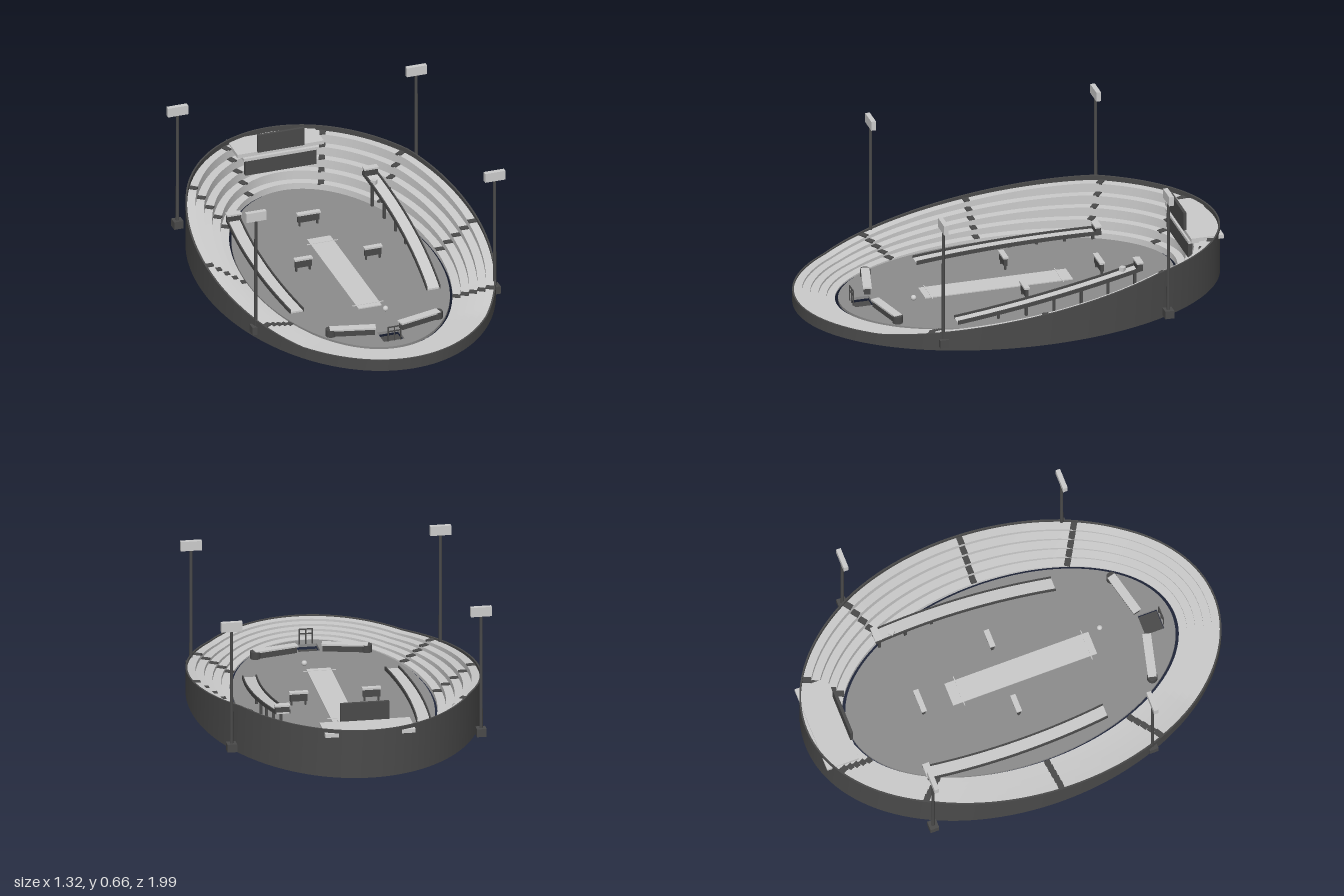
import * as THREE from 'three';
import { toCreasedNormals } from 'three/addons/utils/BufferGeometryUtils.js';

const mat = (color) => new THREE.MeshStandardMaterial({ color });
const light = mat(0xcccccc), grass = mat(0x8c8c8c), dark = mat(0x4a4a4a);

const BASE = 0.02, GROUND = 0.03;
const A0 = 0.458, A1 = 0.66, B0 = 0.8, B1 = 0.995; // inner and outer half axes
const ROWS = 5, WALL = 0.965;

// rim height: low at the front, rising evenly to a level back
const rim = (z) => 0.075 + 0.175 * THREE.MathUtils.clamp((0.73 - z) / 1.31, 0, 1);

// point in the bowl: t = angle, s = inner to outer, h = base to rim
function bowlPoint(t, s, h) {
  const x = THREE.MathUtils.lerp(A0, A1, s) * Math.cos(t);
  const z = THREE.MathUtils.lerp(B0, B1, s) * Math.sin(t);
  return new THREE.Vector3(x, BASE + h * (rim(B1 * Math.sin(t)) - BASE), z);
}

// closed section swept around the bowl
function bowlSweep(section, segments = 128) {
  const pos = [], index = [], n = section.length;
  for (let i = 0; i <= segments; i++)
    for (const [s, h] of section) pos.push(...bowlPoint((i / segments) * Math.PI * 2, s, h).toArray());
  for (let i = 0; i < segments; i++)
    for (let j = 0; j < n; j++) {
      const a = i * n + j, b = i * n + ((j + 1) % n);
      index.push(a, b, a + n, b, b + n, a + n);
    }
  const g = new THREE.BufferGeometry();
  g.setAttribute('position', new THREE.Float32BufferAttribute(pos, 3));
  g.setIndex(index);
  return toCreasedNormals(g, 0.5);
}

function add(parent, name, geometry, material, x = 0, y = 0, z = 0) {
  const m = new THREE.Mesh(geometry, material);
  m.name = name;
  m.position.set(x, y, z);
  parent.add(m);
  return m;
}
const box = (parent, name, material, w, h, d, x, y, z) =>
  add(parent, name, new THREE.BoxGeometry(w, h, d), material, x, y, z);

function group(parent, name, x = 0, y = 0, z = 0) {
  const g = new THREE.Group();
  g.name = name;
  g.position.set(x, y, z);
  parent.add(g);
  return g;
}

// flat outline laid on the ground and thickened upward
const slab = (shape, depth) =>
  new THREE.ExtrudeGeometry(shape, { depth, bevelEnabled: false, curveSegments: 64 }).rotateX(-Math.PI / 2);

// bowed walkway strip, sloping up toward the back
const Z0 = 0.335, Z1 = -0.54;
const bow = (z) => 0.328 + 0.028 * (1 - ((z + 0.1) / 0.44) ** 2);
function bowedStrip(side, offset, width, thick, height) {
  const edge = (o) => Array.from({ length: 25 }, (_, i) => {
    const z = THREE.MathUtils.lerp(Z0, Z1, i / 24);
    return new THREE.Vector2(side * (bow(z) + o), -z);
  });
  const g = slab(new THREE.Shape([...edge(offset - width / 2), ...edge(offset + width / 2).reverse()]), thick);
  const p = g.attributes.position;
  for (let i = 0; i < p.count; i++) p.setY(i, p.getY(i) + height(p.getZ(i)));
  g.computeVertexNormals();
  return g;
}

function ramp(parent, name, side, topY) {
  const r = group(parent, name);
  const height = (z) => THREE.MathUtils.lerp(GROUND, topY, (Z0 - z) / (Z0 - Z1));
  add(r, 'rampDeck', bowedStrip(side, 0, 0.06, 0.008, height), light);
  for (const o of [-0.031, 0.031]) add(r, 'rampCurb', bowedStrip(side, o, 0.006, 0.018, height), dark);
  for (let i = 0; i < 6; i++) {
    const z = 0.14 - i * 0.13, h = height(z) - GROUND;
    box(r, 'rampPost', dark, 0.012, h, 0.012, side * bow(z), GROUND + h / 2, z);
  }
  box(r, 'rampEndPanel', dark, 0.065, 0.036, 0.025, side * bow(-0.525), topY + 0.018, -0.527);
  box(r, 'rampEndCap', light, 0.07, 0.008, 0.032, side * bow(-0.525), topY + 0.038, -0.527);
}

function sign(parent, x, z, w) {
  const s = group(parent, 'boardOnLegs', x, 0, z);
  box(s, 'boardPanel', dark, w * 0.92, 0.036, 0.016, 0, 0.068, 0);
  box(s, 'boardCap', light, w, 0.009, 0.025, 0, 0.09, 0);
  for (const k of [-1, 1]) box(s, 'boardLeg', dark, 0.008, 0.024, 0.01, k * w * 0.38, 0.04, 0);
}

function floodlight(parent, x, z) {
  const f = group(parent, 'floodlight', x, 0, z);
  box(f, 'floodlightBase', dark, 0.045, 0.038, 0.042, 0, 0.059, 0);
  add(f, 'floodlightPole', new THREE.CylinderGeometry(0.007, 0.008, 0.57, 12), dark, 0, 0.345, 0);
  box(f, 'floodlightHead', light, 0.097, 0.045, 0.022, 0, 0.642, 0);
}

export function createModel() {
  const model = new THREE.Group();
  model.name = 'stadium';

  // stepped seating and outer wall
  const rowS = (i) => (i / ROWS) * WALL, rowH = (i) => 0.14 + 0.76 * (i / (ROWS - 1));
  const steps = [[0, 0], [WALL, 0]];
  for (let i = ROWS - 1; i >= 0; i--) steps.push([rowS(i + 1), rowH(i)], [rowS(i), rowH(i)]);
  add(model, 'seatingTiers', bowlSweep(steps), light);
  add(model, 'outerWall', bowlSweep([[WALL - 0.005, 0], [1, 0], [1, 1], [WALL - 0.005, 1]]), dark);

  // dark stairs crossing the tiers
  for (const deg of [0, 32, -38, -68.5])
    for (const t of [deg, 180 - deg].map(THREE.MathUtils.degToRad))
      for (let i = 0; i < ROWS; i++) {
        const a = bowlPoint(t, rowS(i), rowH(i)), b = bowlPoint(t, rowS(i + 1), rowH(i));
        const step = box(model, 'aisleStep', dark, a.distanceTo(b), 0.008, 0.028, 0, 0, 0);
        step.position.copy(a).lerp(b, 0.5);
        step.rotation.y = -Math.atan2(b.z - a.z, b.x - a.x);
      }

  // field with a square pit opening
  const outline = new THREE.Shape().absellipse(0, 0, 0.447, 0.785, 0, Math.PI * 2);
  const pit = [[-0.05, -0.637], [0.05, -0.637], [0.05, -0.73], [-0.05, -0.73]];
  outline.holes.push(new THREE.Path(pit.map(([x, y]) => new THREE.Vector2(x, y))));
  add(model, 'field', slab(outline, GROUND - 0.017), grass, 0, 0.017, 0);
  box(model, 'pitPlate', dark, 0.1, 0.005, 0.093, 0, 0.0025, 0.683);
  for (const x of [-0.03, 0, 0.03]) box(model, 'pitRailPost', dark, 0.005, 0.075, 0.005, x, 0.0665, 0.733);
  for (const y of [0.08, 0.102]) box(model, 'pitRail', dark, 0.065, 0.005, 0.005, 0, y, 0.733);

  // central strip with its end lines
  box(model, 'centreStrip', light, 0.112, 0.006, 0.7, 0, GROUND + 0.002, 0.05);
  for (const z of [-0.25, 0.37]) box(model, 'stripLine', light, 0.15, 0.003, 0.004, 0, GROUND + 0.005, z);
  add(model, 'ball', new THREE.SphereGeometry(0.013, 20, 14), light, 0.055, GROUND + 0.013, 0.455);

  // boards, walkways and the marker on the high walkway
  sign(model, 0, -0.44, 0.112);
  for (const k of [-1, 1]) sign(model, k * 0.168, -0.037, 0.086);
  ramp(model, 'lowRamp', -1, 0.062);
  ramp(model, 'highRamp', 1, 0.182);
  box(model, 'rampMarker', light, 0.024, 0.02, 0.024, 0.322, 0.185, -0.455).rotation.y = Math.PI / 4;

  // angled benches with round ends
  for (const k of [-1, 1]) {
    const bench = group(model, 'bench', k * 0.16, 0, 0.615);
    bench.rotation.y = k * 0.24;
    box(bench, 'benchBody', dark, 0.2, 0.03, 0.03, 0, 0.045, 0);
    box(bench, 'benchTop', light, 0.21, 0.008, 0.04, 0, 0.063, 0);
    add(bench, 'benchEnd', new THREE.CylinderGeometry(0.024, 0.024, 0.034, 20), dark, k * 0.1, 0.047, 0);
  }

  // pavilion and scoreboard at the back
  const pavilion = group(model, 'pavilion');
  box(pavilion, 'pavilionRoof', light, 0.415, 0.018, 0.155, 0, 0.225, -0.893);
  box(pavilion, 'pavilionLedge', light, 0.36, 0.014, 0.05, 0, 0.203, -0.835);
  box(pavilion, 'pavilionScreen', dark, 0.342, 0.072, 0.02, 0, 0.158, -0.822);
  box(pavilion, 'scoreboard', dark, 0.225, 0.088, 0.014, 0, 0.276, -0.815);

  for (const k of [-1, 1]) for (const z of [-0.597, 0.47]) floodlight(model, k * 0.575, z);
  return model;
}
